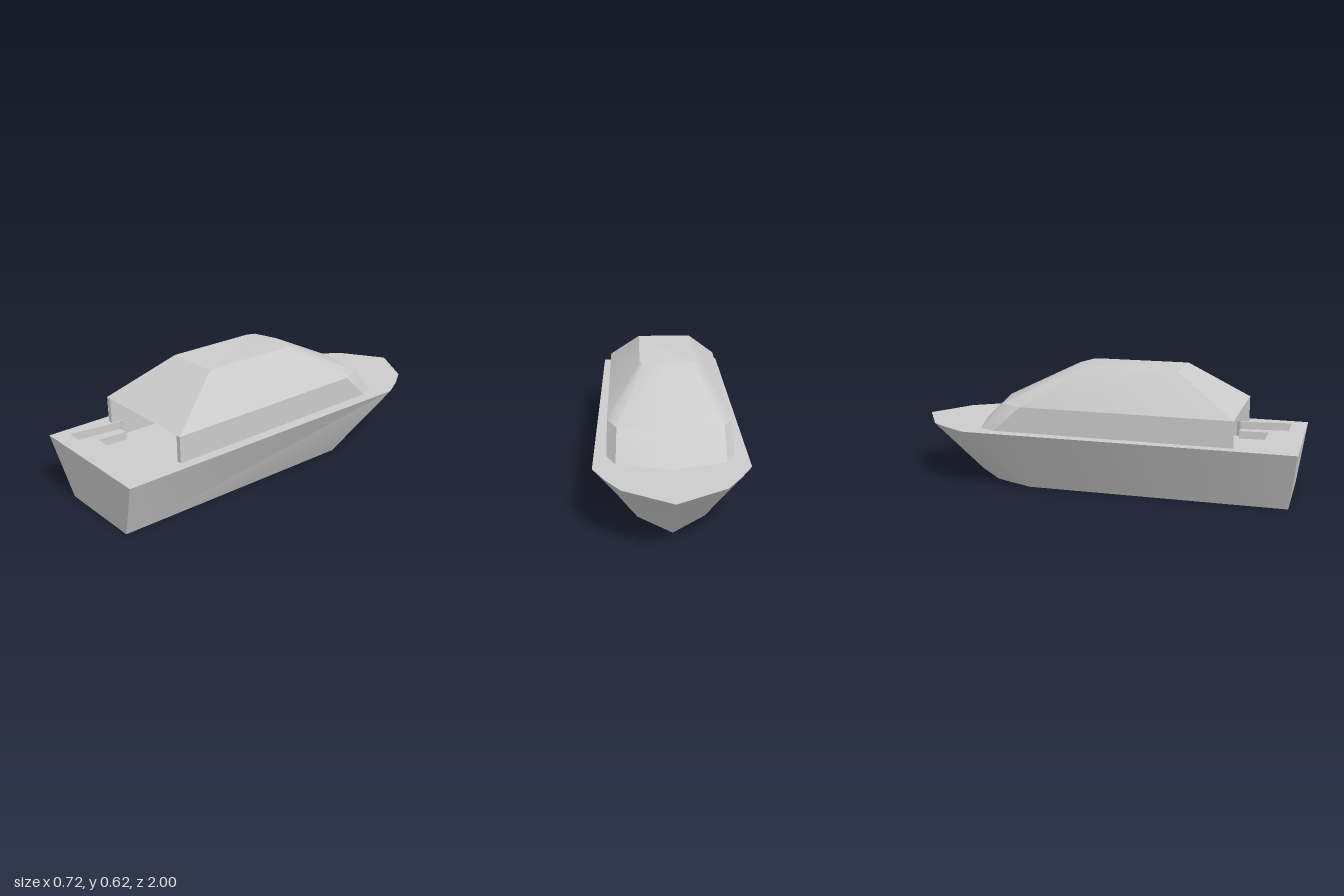
import * as THREE from 'three';
import { mergeGeometries, toCreasedNormals } from 'three/addons/utils/BufferGeometryUtils.js';

const material = new THREE.MeshStandardMaterial({ color: 0xcccccc, side: THREE.DoubleSide });

// Mirror a half outline [x, z] (stern to bow) into a full one
const mirror = (half) => [
  ...half,
  ...half.slice().reverse().filter(([x]) => x > 0).map(([x, z]) => [-x, z]),
];

// Wall strip between a lower and an upper outline with equal point counts
function strip(low, yLow, high, yHigh, closed = true) {
  const p = [];
  const n = low.length;
  for (let i = 0; i < (closed ? n : n - 1); i++) {
    const j = (i + 1) % n;
    const a = [low[i][0], yLow, low[i][1]], b = [low[j][0], yLow, low[j][1]];
    const c = [high[j][0], yHigh, high[j][1]], d = [high[i][0], yHigh, high[i][1]];
    p.push(...a, ...b, ...c, ...a, ...c, ...d);
  }
  const g = new THREE.BufferGeometry();
  g.setAttribute('position', new THREE.Float32BufferAttribute(p, 3));
  return g;
}

const toPoints = (outline) => outline.map(([x, z]) => new THREE.Vector2(x, -z));

function toShape(outline, hole) {
  const s = new THREE.Shape(toPoints(outline));
  if (hole) s.holes.push(new THREE.Path(toPoints(hole)));
  return s;
}

// Horizontal face at height y, pointing up or down
function flat(outline, y, hole, down = false) {
  let g = new THREE.ShapeGeometry(toShape(outline, hole));
  g.rotateX(-Math.PI / 2).translate(0, y, 0);
  g = g.toNonIndexed();
  g.deleteAttribute('uv');
  g.deleteAttribute('normal');
  if (down) {
    const a = g.attributes.position.array;
    for (let i = 0; i < a.length; i += 9) {
      for (let k = 0; k < 3; k++) [a[i + 3 + k], a[i + 6 + k]] = [a[i + 6 + k], a[i + 3 + k]];
    }
  }
  return g;
}

// Upright slab with the given outline
function slab(outline, y, height) {
  return new THREE.ExtrudeGeometry(toShape(outline), { depth: height, bevelEnabled: false })
    .rotateX(-Math.PI / 2).translate(0, y, 0);
}

export function createModel() {
  const group = new THREE.Group();
  const add = (name, geometry) => {
    const mesh = new THREE.Mesh(geometry, material);
    mesh.name = name;
    group.add(mesh);
  };
  const creased = (parts) => toCreasedNormals(mergeGeometries(parts), 0.53);

  const DECK = 0.295, BENCH = 0.255, FLOOR = 0.215, SHOULDER = 0.425, ROOF = 0.615;

  // Hull with flared sides and raked bow, deck cut open for the cockpit
  const deckLine = mirror([[0.345, 1], [0.36, -0.64], [0.302, -0.75], [0.23, -0.86], [0, -1]]);
  const keelLine = mirror([[0.225, 0.96], [0.243, -0.33], [0.203, -0.435], [0.158, -0.54], [0, -0.7]]);
  const well = mirror([[0.29, 0.92], [0.258, 0.66], [0.271, 0.64], [0.271, -0.34]]);
  add('hull', creased([
    strip(keelLine, 0, deckLine, DECK),
    flat(keelLine, 0, null, true),
    flat(deckLine, DECK, well),
  ]));

  // Sunken cockpit: walls, floor and a bench around the stern
  add('cockpitWalls', creased([strip(well.slice().reverse(), FLOOR, well.slice().reverse(), DECK)]));
  add('cockpitFloor', creased([flat(well, FLOOR)]));
  add('cockpitBench', slab([
    [0.258, 0.66], [0.29, 0.92], [-0.29, 0.92], [-0.258, 0.66],
    [-0.21, 0.66], [-0.22, 0.81], [0.22, 0.81], [0.21, 0.66],
  ], FLOOR, BENCH - FLOOR));

  // Cabin shell: upright sides, sloping shoulders, curved windscreen, open at the stern
  const base = mirror([[0.297, 0.7], [0.297, -0.5], [0.255, -0.59], [0, -0.66]]);
  const shoulder = mirror([[0.297, 0.7], [0.297, -0.36], [0.25, -0.47], [0, -0.525]]);
  const roof = mirror([[0.137, 0.4], [0.137, -0.06], [0.12, -0.1], [0, -0.135]]);
  add('cabin', creased([
    strip(base, DECK, shoulder, SHOULDER, false),
    strip(shoulder, SHOULDER, roof, ROOF),
    flat(roof, ROOF),
  ]));

  // Cabin interior: thick side walls with a bulkhead, and the ceiling
  add('cabinInnerWalls', slab([
    [0.296, 0.699], [0.296, -0.355], [-0.296, -0.355], [-0.296, 0.699],
    [-0.272, 0.699], [-0.272, -0.34], [0.272, -0.34], [0.272, 0.699],
  ], DECK, SHOULDER - DECK - 0.001));
  add('cabinCeiling', creased([
    flat(mirror([[0.296, 0.699], [0.296, -0.35]]), SHOULDER - 0.001, null, true),
  ]));

  return group;
}
